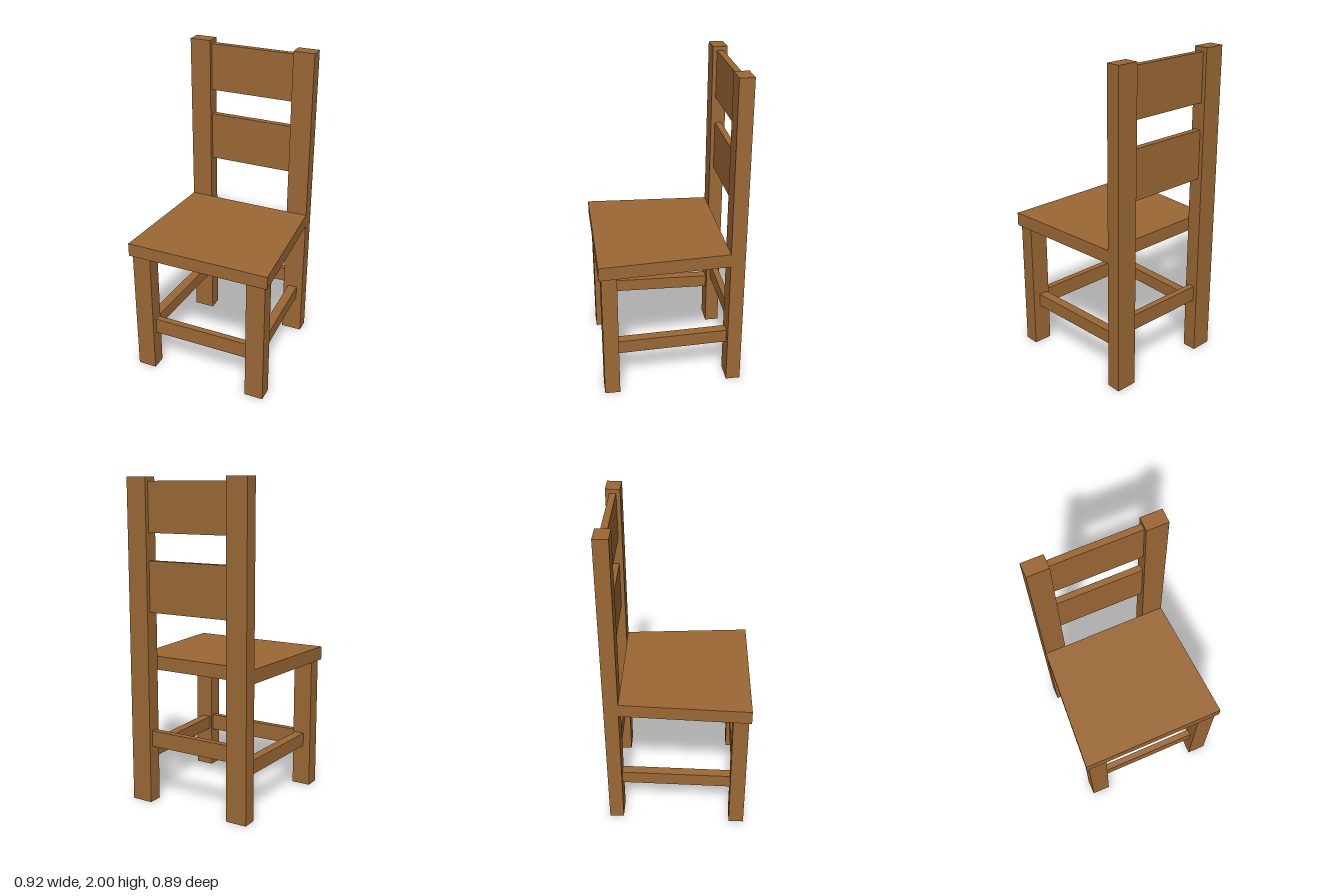
import * as THREE from 'three';

export function createModel() {
  const chair = new THREE.Group();
  chair.name = 'chair';
  const wood = new THREE.MeshStandardMaterial({ color: 0x9c6835 });
  wood.name = 'brown wood';

  const add = (name, geometry) => {
    const mesh = new THREE.Mesh(geometry, wood);
    mesh.name = name;
    chair.add(mesh);
  };

  // Box given by its lower and upper limits on each axis
  const beam = (name, [x0, x1], [y0, y1], [z0, z1]) => {
    const geometry = new THREE.BoxGeometry(x1 - x0, y1 - y0, z1 - z0);
    geometry.translate((x0 + x1) / 2, (y0 + y1) / 2, (z0 + z1) / 2);
    add(name, geometry);
  };

  // Flat plan outline of [x, z] corners, raised from y0 to y1
  const slab = (name, corners, y0, y1) => {
    const shape = new THREE.Shape(corners.map(([x, z]) => new THREE.Vector2(x, -z)));
    const geometry = new THREE.ExtrudeGeometry(shape, { depth: y1 - y0, bevelEnabled: false });
    geometry.rotateX(-Math.PI / 2).translate(0, y0, 0);
    add(name, geometry);
  };

  // Seat, wider at the front
  slab('seat', [[-0.46, 0.445], [0.46, 0.445], [0.41, -0.355], [-0.41, -0.355]], 0.835, 0.92);

  // Posts, legs and splayed side stretchers
  for (const [side, s] of [['left', 1], ['right', -1]]) {
    const span = (a, b) => (s > 0 ? [a, b] : [-b, -a]);
    beam(`${side}BackPost`, span(0.275, 0.41), [0, 2], [-0.445, -0.355]);
    beam(`${side}FrontLeg`, span(0.322, 0.442), [0, 0.835], [0.335, 0.43]);
    slab(`${side}Stretcher`,
      [[s * 0.335, 0.335], [s * 0.395, 0.335], [s * 0.37, -0.355], [s * 0.31, -0.355]], 0.265, 0.35);
  }

  // Rails between the back posts
  const backRails = { topSlat: [1.675, 1.975], lowerSlat: [1.2, 1.51], backStretcher: [0.36, 0.46] };
  for (const [name, height] of Object.entries(backRails)) {
    beam(name, [-0.275, 0.275], height, [-0.42, -0.38]);
  }

  // Rail between the front legs
  beam('frontStretcher', [-0.322, 0.322], [0.255, 0.36], [0.35, 0.39]);

  return chair;
}
